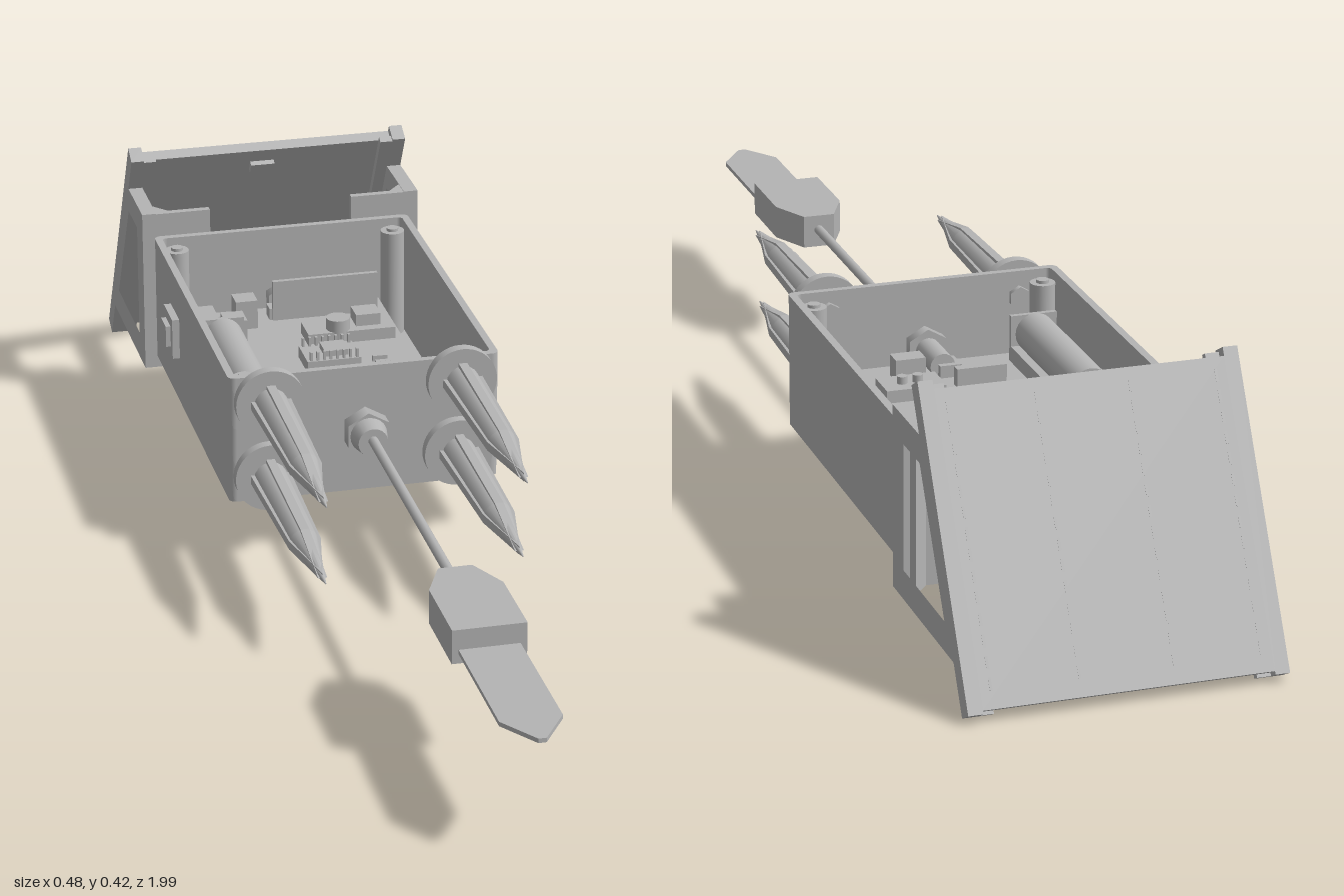
import * as THREE from 'three';

export function createModel() {
  const model = new THREE.Group();
  const grey = new THREE.MeshStandardMaterial({ color: 0xb4b4b4 });
  grey.name = 'plain grey';

  function add(name, geo, x = 0, y = 0, z = 0, parent = model) {
    const m = new THREE.Mesh(geo, grey);
    m.name = name;
    m.position.set(x, y, z);
    parent.add(m);
    return m;
  }
  // Box given by its limits
  const box = (name, x0, x1, y0, y1, z0, z1) =>
    add(name, new THREE.BoxGeometry(x1 - x0, y1 - y0, z1 - z0), (x0 + x1) / 2, (y0 + y1) / 2, (z0 + z1) / 2);
  // Upright cylinder
  const post = (name, r, x, z, y0, y1) =>
    add(name, new THREE.CylinderGeometry(r, r, y1 - y0, 20), x, (y0 + y1) / 2, z);
  // Cylinder lying along z, r0 at z0 and r1 at z1
  const rod = (name, r0, r1, x, y, z0, z1, sides = 20, parent = model) =>
    add(name, new THREE.CylinderGeometry(r1, r0, z1 - z0, sides).rotateX(Math.PI / 2), x, y, (z0 + z1) / 2, parent);
  const poly = (pts) => new THREE.Shape(pts.map(([a, b]) => new THREE.Vector2(a, b)));
  const extrude = (shape, depth) =>
    new THREE.ExtrudeGeometry(shape, { depth, bevelEnabled: false, curveSegments: 6 });
  // Profile of [z, y] points extruded from x0 to x1
  function side(name, pts, x0, x1, hole) {
    const flip = (list) => list.map(([z, y]) => [-z, y]);
    const s = poly(flip(pts));
    if (hole) s.holes.push(poly(flip(hole)));
    return add(name, extrude(s, x1 - x0).rotateY(Math.PI / 2), x0, 0, 0);
  }
  // Plan shape (x, -z) extruded upward from y0
  const plan = (name, shape, y0, y1) => add(name, extrude(shape, y1 - y0).rotateX(-Math.PI / 2), 0, y0, 0);
  function roundRect(x, z0, z1, r) {
    const s = new THREE.Shape();
    s.absarc(x - r, -z0 - r, r, 0, Math.PI / 2);
    s.absarc(-x + r, -z0 - r, r, Math.PI / 2, Math.PI);
    s.absarc(-x + r, -z1 + r, r, Math.PI, Math.PI * 1.5);
    s.absarc(x - r, -z1 + r, r, Math.PI * 1.5, Math.PI * 2);
    s.closePath();
    return s;
  }

  // Open enclosure
  const wall = roundRect(0.219, -0.65, -0.045, 0.012);
  wall.holes.push(roundRect(0.207, -0.638, -0.057, 0.008));
  plan('enclosureWall', wall, 0.096, 0.309);
  plan('enclosureFloor', roundRect(0.215, -0.646, -0.049, 0.01), 0.096, 0.11);
  for (const x of [-0.186, 0.186]) for (const z of [-0.618, -0.08]) {
    post('cornerPost', 0.02, x, z, 0.11, 0.295);
    post('cornerScrew', 0.01, x, z, 0.295, 0.3);
  }

  // Ground spikes with flange, ribs and pointed tip
  for (const [x, y] of [[-0.155, 0.267], [-0.157, 0.14], [0.155, 0.273], [0.15, 0.15]]) {
    const spike = new THREE.Group();
    spike.name = 'groundSpike';
    spike.position.set(x, y, 0);
    model.add(spike);
    rod('spikeFlange', 0.056, 0.056, 0, 0, -0.046, -0.028, 40, spike);
    rod('spikeShaft', 0.027, 0.023, 0, 0, -0.03, 0.21, 16, spike);
    rod('spikeTip', 0.023, 0.001, 0, 0, 0.21, 0.355, 16, spike);
    for (let i = 0; i < 2; i++) {
      const rib = poly([[-0.032, -0.03], [0.032, -0.03], [0.025, 0.215], [0, 0.335], [-0.025, 0.215]]);
      const g = extrude(rib, 0.014).translate(0, 0, -0.007).rotateX(Math.PI / 2);
      add('spikeRib', g, 0, 0, 0, spike).rotation.z = i * Math.PI / 2;
    }
    rod('spikeNut', 0.018, 0.018, 0, 0, -0.066, -0.05, 6, spike);
  }

  // Cable glands, front and rear
  rod('frontGlandNut', 0.038, 0.038, 0, 0.201, -0.046, -0.018, 6);
  rod('frontGlandCap', 0.03, 0.024, 0, 0.201, -0.018, 0.012);
  rod('frontGlandThread', 0.02, 0.02, 0, 0.201, -0.15, -0.05);
  rod('frontGlandLocknut', 0.034, 0.034, 0, 0.201, -0.076, -0.057, 6);
  rod('rearGlandNut', 0.034, 0.034, 0, 0.18, -0.68, -0.65, 6);
  rod('rearGlandCap', 0.022, 0.03, 0, 0.18, -0.71, -0.68);
  rod('rearGlandLocknut', 0.034, 0.034, 0, 0.18, -0.638, -0.615, 6);

  // Probe on its cable
  rod('probeCable', 0.008, 0.008, 0, 0.205, 0, 0.53, 10);
  plan('probeHead', poly([[-0.026, -0.52], [-0.056, -0.585], [-0.056, -0.718], [0.056, -0.718],
    [0.056, -0.585], [0.026, -0.52]]), 0.176, 0.23);
  plan('probeBlade', poly([[-0.046, -0.715], [-0.046, -0.94], [-0.006, -1], [0.006, -1],
    [0.046, -0.94], [0.046, -0.715]]), 0.191, 0.198);

  // Bracket frames behind the enclosure
  for (const s of [-1, 1]) {
    const x0 = s > 0 ? 0.214 : -0.238;
    side('bracketFrame', [[-0.65, 0.35], [-0.773, 0.35], [-0.93, 0.07], [-0.65, 0.07]], x0, x0 + 0.024,
      [[-0.7, 0.308], [-0.775, 0.308], [-0.888, 0.115], [-0.7, 0.115]]);
    box('bracketPlate', s > 0 ? 0.122 : -0.238, s > 0 ? 0.238 : -0.122, 0.07, 0.349, -0.662, -0.65);
    for (const y of [0.14, 0.28]) rod('bracketScrew', 0.008, 0.008, s * 0.15, y, -0.667, -0.66, 12);
    plan('bracketFillet', poly([[s * 0.216, 0.66], [s * 0.19, 0.66], [s * 0.216, 0.69]]), 0.07, 0.349);
  }

  // Sloping solar panel: u runs down the slope, v outward
  const P = (u, v) => [-0.738 - 0.49 * u - 0.872 * v, 0.411 - 0.872 * u + 0.49 * v];
  const slab = (name, u0, u1, v0, v1, x0, x1) =>
    side(name, [P(u0, v0), P(u1, v0), P(u1, v1), P(u0, v1)], x0, x1);
  slab('solarPanel', 0.013, 0.464, 0.012, 0.031, -0.216, 0.216);
  for (const s of [-1, 1]) {
    slab('panelRail', 0, 0.469, 0, 0.031, s > 0 ? 0.216 : -0.238, s > 0 ? 0.238 : -0.216);
    slab('panelRailLip', 0.004, 0.469, 0, 0.012, s > 0 ? 0.195 : -0.216, s > 0 ? 0.216 : -0.195);
  }
  slab('panelConnector', 0.04, 0.06, 0.003, 0.012, -0.027, 0.014);
  for (const x of [-0.2, -0.07, 0.07, 0.2]) for (let i = 0; i < 14; i++) {
    const u = 0.03 + i * 0.03;
    slab('cellLine', u, u + 0.018, 0.031, 0.0315, x - 0.002, x + 0.002);
  }

  // Side switch
  box('switchBezel', -0.231, -0.218, 0.176, 0.245, -0.51, -0.44);
  box('switchRocker', -0.239, -0.23, 0.192, 0.228, -0.495, -0.455);
  box('switchBody', -0.207, -0.15, 0.185, 0.237, -0.505, -0.445);

  // Circuit board on standoffs
  const top = 0.185;
  box('circuitBoard', -0.165, 0.155, top - 0.01, top, -0.592, -0.085);
  for (const x of [-0.135, 0.13]) for (const z of [-0.565, -0.11]) {
    post('standoff', 0.013, x, z, 0.11, top - 0.01);
    post('boardScrew', 0.012, x, z, top, top + 0.008);
  }
  // Battery in its holder
  box('batteryHolder', -0.195, -0.12, top, top + 0.025, -0.4, -0.115);
  for (const z of [-0.4, -0.123]) box('holderEnd', -0.195, -0.12, top, 0.26, z, z + 0.008);
  rod('battery', 0.032, 0.032, -0.157, 0.232, -0.385, -0.13, 24);

  // Board components: name, centre x, centre z, width, depth, height
  const parts = [
    ['terminalBlock', -0.09, -0.53, 0.037, 0.037, 0.05], ['terminalBlock', -0.124, -0.455, 0.037, 0.042, 0.05],
    ['uprightCard', 0.05, -0.54, 0.18, 0.008, 0.07], ['cardSocket', -0.02, -0.553, 0.05, 0.025, 0.02],
    ['cardSocket', 0.07, -0.556, 0.06, 0.02, 0.03], ['cardSocket', 0.115, -0.55, 0.02, 0.02, 0.045],
    ['powerModule', 0.068, -0.447, 0.148, 0.058, 0.02], ['inductor', 0.1, -0.455, 0.042, 0.04, 0.04],
    ['controlModule', 0.013, -0.345, 0.09, 0.07, 0.02], ['chip', 0.02, -0.345, 0.04, 0.04, 0.03],
    ['smallPart', 0.095, -0.335, 0.025, 0.008, 0.01], ['smallPart', 0.095, -0.312, 0.025, 0.008, 0.01],
    ['pinHeader', -0.045, -0.198, 0.08, 0.016, 0.03], ['sensorModule', 0.07, -0.208, 0.095, 0.06, 0.02],
    ['connector', 0.053, -0.138, 0.048, 0.032, 0.035], ['connector', -0.01, -0.14, 0.035, 0.04, 0.02],
  ];
  for (const [name, x, z, w, d, h] of parts)
    box(name, x - w / 2, x + w / 2, top, top + h, z - d / 2, z + d / 2);
  post('capacitor', 0.02, 0.048, -0.435, top, top + 0.04);
  for (const x of [0.06, 0.085]) post('sensorPin', 0.008, x, -0.21, top, top + 0.032);
  for (let i = 0; i < 8; i++) {
    const x = -0.025 + i * 0.011;
    for (const z of [-0.375, -0.315]) box('modulePin', x - 0.002, x + 0.002, top, top + 0.035, z - 0.003, z + 0.003);
  }
  return model;
}
